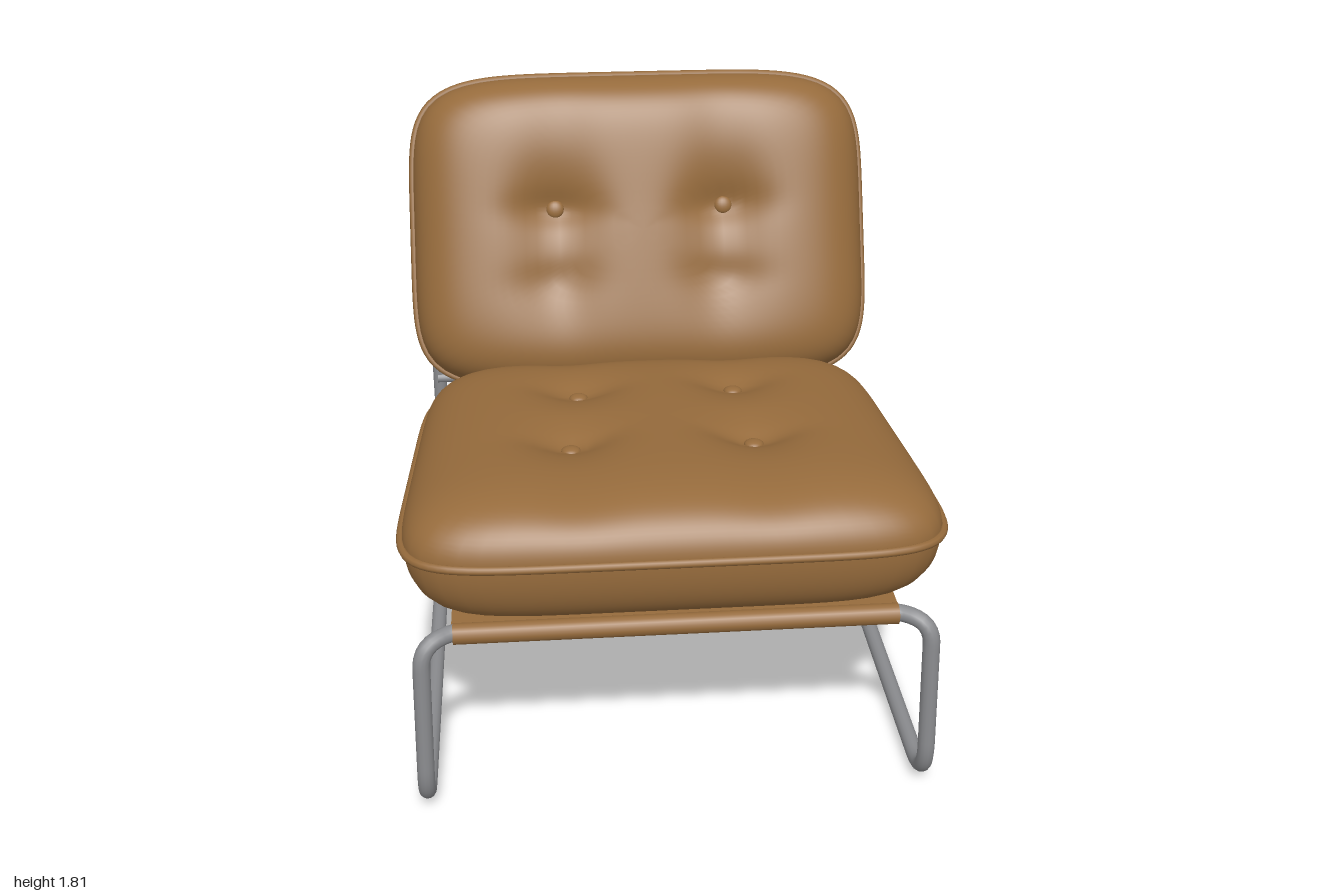
import * as THREE from 'three';

const leather = new THREE.MeshStandardMaterial({ color: 0x966b3c, side: THREE.DoubleSide });
leather.name = 'tan leather';
const steel = new THREE.MeshStandardMaterial({ color: 0x8a8b8e });
steel.name = 'steel';

const V = (x, y, z) => new THREE.Vector3(x, y, z);

function add(parent, name, geometry, material) {
  const mesh = new THREE.Mesh(geometry, material);
  mesh.name = name;
  parent.add(mesh);
  return mesh;
}

// Closed polyline with every corner rounded; corners are [x, y, z, bend length]
function roundedLoop(corners) {
  const path = new THREE.CurvePath();
  const n = corners.length;
  const bends = corners.map((c, i) => {
    const at = V(...c);
    const toward = (o) => at.clone().add(V(...o).sub(at).setLength(c[3]));
    return { at, a: toward(corners[(i + n - 1) % n]), b: toward(corners[(i + 1) % n]) };
  });
  bends.forEach((bend, i) => {
    path.add(new THREE.QuadraticBezierCurve3(bend.a, bend.at, bend.b));
    path.add(new THREE.LineCurve3(bend.b, bends[(i + 1) % n].a));
  });
  return path;
}

// Horizontal round bar along x
function bar(parent, name, radius, length, y, z, material) {
  const g = new THREE.CylinderGeometry(radius, radius, length, 16).rotateZ(Math.PI / 2);
  add(parent, name, g, material).position.set(0, y, z);
}

// Thick sheet of leather following a [z, y] profile; edges draw in slightly midway
function sheet(parent, name, profile, halfWidth, pinch, thickness) {
  const curve = new THREE.CatmullRomCurve3(profile.map(([z, y]) => V(0, y, z)));
  const g = new THREE.BoxGeometry(2, 1, thickness, 8, 28, 1);
  const p = g.attributes.position;
  for (let i = 0; i < p.count; i++) {
    const t = THREE.MathUtils.clamp(0.5 - p.getY(i), 0, 1);
    const c = curve.getPoint(t), d = curve.getTangent(t), off = p.getZ(i);
    p.setXYZ(i, p.getX(i) * (halfWidth - pinch * Math.sin(Math.PI * t)),
      c.y - d.z * off, c.z + d.y * off);
  }
  g.computeVertexNormals();
  add(parent, name, g, leather);
}

// Tufted cushion lying in its own xy plane, with piping round its edge
function cushion(name, o) {
  const group = new THREE.Group();
  group.name = name;
  const M = 112, N = 30;
  const halfWidth = (y) => o.halfX - o.taper * y / o.halfY;

  const outline = (phi, r) => {
    const c = Math.cos(phi), s = Math.sin(phi);
    const k = r / Math.pow(Math.abs(c) ** o.corner + Math.abs(s) ** o.corner, 1 / o.corner);
    const y = k * s * o.halfY;
    return [k * c * halfWidth(y), y];
  };
  const radiusAt = (x, y) => Math.pow(
    Math.abs(x / halfWidth(y)) ** o.corner + Math.abs(y / o.halfY) ** o.corner, 1 / o.corner);

  // Puffed face height, pulled in around each tuft
  const height = (x, y, r, front) => {
    const puff = Math.sqrt(Math.max(0, 1 - r ** (front ? o.frontPower : o.backPower)));
    const t = (y / o.halfY + 1) / 2;
    if (!front) return -puff * THREE.MathUtils.lerp(...o.back, t);
    let pull = 0.015 * Math.exp(-(((Math.abs(x) - 0.28) / 0.12) ** 2));
    for (const [tx, ty, depth] of o.tufts) {
      const dx = x - tx, dy = y - ty;
      pull += depth * (0.65 * Math.exp(-(dx * dx + dy * dy) / 0.02)
        + 0.35 * Math.exp(-(dx * dx / 0.016 + dy * dy / 0.003)));
    }
    return puff * THREE.MathUtils.lerp(...o.front, t) - pull * (1 - r ** 6);
  };

  for (const front of [true, false]) {
    const pos = [0, 0, height(0, 0, 0, front)];
    const index = [];
    const tri = (a, b, c) => (front ? index.push(a, b, c) : index.push(a, c, b));
    for (let j = 1; j <= N; j++) {
      const r = 1 - (1 - j / N) ** 2;
      for (let i = 0; i < M; i++) {
        const [x, y] = outline(i / M * Math.PI * 2, r);
        pos.push(x, y, height(x, y, r, front));
        const k = (i + 1) % M, ring = 1 + (j - 1) * M, inner = ring - M;
        if (j === 1) tri(0, ring + i, ring + k);
        else {
          tri(inner + i, ring + i, ring + k);
          tri(inner + i, ring + k, inner + k);
        }
      }
    }
    const g = new THREE.BufferGeometry();
    g.setAttribute('position', new THREE.Float32BufferAttribute(pos, 3));
    g.setIndex(index);
    g.computeVertexNormals();
    add(group, front ? 'cushionFront' : 'cushionBack', g, leather);
  }

  // Piping
  const edge = Array.from({ length: 96 }, (_, i) => V(...outline(i / 96 * Math.PI * 2, 1.004), 0));
  const loop = new THREE.CatmullRomCurve3(edge, true);
  add(group, 'piping', new THREE.TubeGeometry(loop, 192, 0.013, 8, true), leather);

  // Buttons
  for (const [x, y, , button] of o.tufts) {
    if (!button) continue;
    const b = add(group, 'button', new THREE.SphereGeometry(0.031, 18, 12), leather);
    b.scale.z = 0.5;
    b.position.set(x, y, height(x, y, radiusAt(x, y), true) + 0.004);
  }
  return group;
}

export function createModel() {
  const model = new THREE.Group();
  model.name = 'loungeChair';

  // Bent tube frame: one loop running through both sides
  const side = [
    [0.66, 0.603, 0.88, 0.03], [0.752, 0.6, 0.94, 0.075],
    [0.765, 0.026, 0.962, 0.15], [0.765, 0.026, -0.972, 0.18],
    [0.76, 1.3, -0.945, 0.1], [0.755, 1.49, -0.94, 0.08],
  ];
  const mirrored = side.map(([x, y, z, r]) => [-x, y, z, r]).reverse();
  add(model, 'tubeFrame',
    new THREE.TubeGeometry(roundedLoop([...side, ...mirrored]), 600, 0.026, 14, true), steel);
  bar(model, 'rearCrossBar', 0.019, 1.54, 0.565, -0.945, steel);

  // Leather sling and the sleeves around the bars
  const sling = new THREE.Group();
  sling.name = 'sling';
  model.add(sling);
  sheet(sling, 'seatSling', [[0.885, 0.6], [0.6, 0.6], [0.1, 0.59], [-0.25, 0.605], [-0.52, 0.665]], 0.665, 0, 0.03);
  sheet(sling, 'backSling', [[-0.52, 0.665], [-0.66, 0.93], [-0.8, 1.22], [-0.935, 1.49]], 0.665, 0.01, 0.024);
  sheet(sling, 'rearSling', [[-0.52, 0.66], [-0.67, 0.62], [-0.82, 0.575], [-0.945, 0.555]], 0.66, 0.03, 0.026);
  bar(sling, 'frontSleeve', 0.032, 1.32, 0.6, 0.885, leather);
  bar(sling, 'topSleeve', 0.037, 1.33, 1.49, -0.958, leather);
  bar(sling, 'rearSleeve', 0.03, 1.28, 0.562, -0.94, leather);

  // Seat cushion
  const seat = cushion('seatCushion', {
    halfX: 0.785, halfY: 0.675, taper: 0.03, corner: 7, frontPower: 5.5, backPower: 9,
    front: [0.185, 0.175], back: [0.24, 0.19],
    tufts: [[-0.25, 0.29, 0.05, true], [0.27, 0.31, 0.05, true],
      [-0.29, -0.13, 0.055, true], [0.28, -0.13, 0.055, true]],
  });
  seat.position.set(0, 0.825, 0.31);
  seat.rotation.x = -THREE.MathUtils.degToRad(93.8);
  model.add(seat);

  // Back cushion
  const back = cushion('backCushion', {
    halfX: 0.797, halfY: 0.545, taper: 0.008, corner: 5.5, frontPower: 7.5, backPower: 7,
    front: [0.205, 0.195], back: [0.175, 0.22],
    tufts: [[-0.3, 0.08, 0.07, true], [0.29, 0.08, 0.07, true],
      [-0.31, -0.17, 0.035, false], [0.28, -0.17, 0.035, false]],
  });
  back.position.set(0, 1.285, -0.6);
  back.rotation.x = -THREE.MathUtils.degToRad(20.5);
  model.add(back);

  return model;
}
